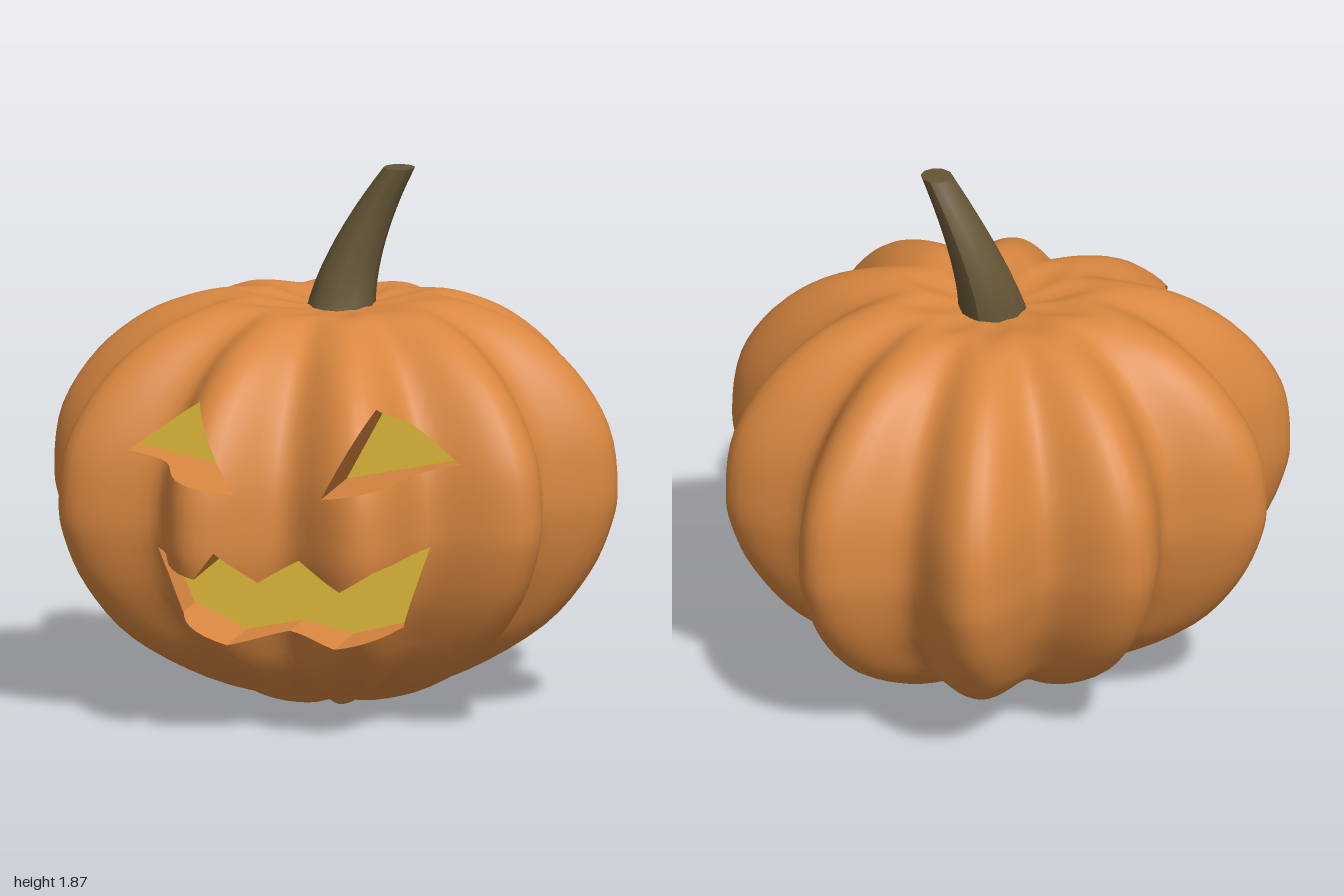
import * as THREE from 'three';

const orange = new THREE.MeshStandardMaterial({ color: 0xd98740 });
orange.name = 'pumpkin orange';
const yellow = new THREE.MeshStandardMaterial({ color: 0xe3bb3a });
yellow.name = 'glow yellow';
const brown = new THREE.MeshStandardMaterial({ color: 0x655536 });
brown.name = 'stem brown';

const BACK = 0.5; // z of the bottom of the carving

// Carved outlines (x, y)
const eye = [[0.313, 1.17], [0.155, 0.877], [0.591, 0.968]];
const mouth = [
  [-0.48, 0.635], [-0.285, 0.585], [-0.215, 0.68], [-0.085, 0.56], [0.06, 0.645],
  [0.23, 0.56], [0.35, 0.635], [0.49, 0.68], [0.385, 0.385], [0.18, 0.33],
  [0, 0.37], [-0.2, 0.33], [-0.385, 0.415],
];

// Outline as counter-clockwise Vector2 points
function outline(points, mirror = 1) {
  const pts = points.map(([x, y]) => new THREE.Vector2(x * mirror, y));
  return THREE.ShapeUtils.area(pts) < 0 ? pts.reverse() : pts;
}

// Signed distance of p from the line a-b, positive on the left
function side(p, a, b) {
  return ((b.x - a.x) * (p[1] - a.y) - (b.y - a.y) * (p[0] - a.x)) / a.distanceTo(b);
}

// Whether p lies on the segment a-b
function onSegment(p, a, b) {
  const along = (p[0] - a.x) * (p[0] - b.x) + (p[1] - a.y) * (p[1] - b.y);
  return Math.abs(side(p, a, b)) < 1e-6 && along < 1e-6;
}

// Keep the part of a convex polygon on one side of the line a-b
function clip(poly, a, b, sign) {
  const out = [];
  poly.forEach((p, i) => {
    const q = poly[(i + 1) % poly.length];
    const dp = side(p, a, b) * sign, dq = side(q, a, b) * sign;
    if (dp >= 0) out.push(p);
    if ((dp > 0 && dq < 0) || (dp < 0 && dq > 0)) {
      const t = dp / (dp - dq);
      out.push(p.map((v, k) => v + (q[k] - v) * t));
    }
  });
  return out.length > 2 ? out : [];
}

// Split a polygon by a triangle into outer pieces and one inner piece
function cut(poly, tri) {
  const outer = [];
  let inner = poly;
  for (let i = 0; i < 3 && inner.length; i++) {
    const a = tri[i], b = tri[(i + 1) % 3];
    const piece = clip(inner, a, b, -1);
    if (piece.length) outer.push(piece);
    inner = clip(inner, a, b, 1);
  }
  return inner.length ? { outer, inner } : { outer: [poly], inner };
}

// Point of the ten-lobed skin at angle a for the ridge profile point (r, y)
function skinPoint(r, y, a) {
  const groove = (1 - Math.cos(a * 10)) / 2;
  const depth = 0.14 + 0.06 * THREE.MathUtils.smoothstep(y, 0.18, 0.38); // shallower underneath
  const swell = 1 + 0.088 * Math.sin(a) * Math.cos(a) ** 2; // fuller front corners
  const rr = r * swell * (1 - depth * groove);
  const sag = 0.09 * Math.sin(a) ** 2 * Math.pow(r, 1.3); // front and back lobes hang lower
  const lift = 0.035 * groove * Math.max(0, 0.72 - y) * Math.min(1, r / 0.3);
  return [rr * Math.cos(a), Math.max(0, y - sag + lift), rr * Math.sin(a)];
}

// Skin as a list of triangles, each vertex holding position and normal
function skinTriangles() {
  const profile = new THREE.SplineCurve([
    [0.002, 0], [0.2, 0.026], [0.47, 0.12], [0.74, 0.29], [0.9, 0.48], [0.98, 0.66],
    [1, 0.8], [0.97, 1], [0.85, 1.19], [0.68, 1.33], [0.5, 1.405], [0.36, 1.425],
    [0.2, 1.397], [0.002, 1.375],
  ].map(([r, y]) => new THREE.Vector2(r, y)));
  const rows = 52, cols = 160, pos = [], index = [];
  for (let i = 0; i <= rows; i++) {
    const { x: r, y } = profile.getPoint(i / rows);
    for (let j = 0; j < cols; j++) {
      pos.push(...skinPoint(r, y, (j / cols) * Math.PI * 2));
      if (i < rows) {
        const k = i * cols, n = (j + 1) % cols;
        index.push(k + j, k + cols + j, k + cols + n, k + j, k + cols + n, k + n);
      }
    }
  }
  const g = new THREE.BufferGeometry();
  g.setAttribute('position', new THREE.Float32BufferAttribute(pos, 3));
  g.setIndex(index);
  g.computeVertexNormals();
  const nor = g.attributes.normal.array;
  const vertex = (v) => [...pos.slice(v * 3, v * 3 + 3), ...nor.slice(v * 3, v * 3 + 3)];
  const tris = [];
  for (let i = 0; i < index.length; i += 3) tris.push([0, 1, 2].map((k) => vertex(index[i + k])));
  return tris;
}

// Cut the outlines through the front of the skin and line them with walls
function carve(tris, outlines) {
  const cutters = [];
  for (const pts of outlines) {
    for (const f of THREE.ShapeUtils.triangulateShape(pts, [])) {
      const tri = f.map((i) => pts[i]);
      cutters.push({ tri: THREE.ShapeUtils.area(tri) < 0 ? tri.reverse() : tri, pts });
    }
  }
  const skin = [], walls = [];
  for (const t of tris) {
    let pieces = [t];
    if (t.every((v) => v[2] > 0.4)) {
      for (const { tri, pts } of cutters) {
        pieces = pieces.flatMap((piece) => {
          const { outer, inner } = cut(piece, tri);
          inner.forEach((p, i) => {
            const q = inner[(i + 1) % inner.length];
            const onEdge = pts.some((a, k) => {
              const b = pts[(k + 1) % pts.length];
              return onSegment(p, a, b) && onSegment(q, a, b);
            });
            if (!onEdge || Math.hypot(p[0] - q[0], p[1] - q[1]) < 1e-6) return;
            const P = p.slice(0, 3), Q = q.slice(0, 3);
            const pb = [p[0], p[1], BACK], qb = [q[0], q[1], BACK];
            walls.push(...P, ...Q, ...qb, ...P, ...qb, ...pb);
          });
          return outer;
        });
      }
    }
    for (const p of pieces) {
      for (let i = 1; i < p.length - 1; i++) skin.push(p[0], p[i], p[i + 1]);
    }
  }
  const skinGeo = new THREE.BufferGeometry();
  skinGeo.setAttribute('position', new THREE.Float32BufferAttribute(skin.flatMap((v) => v.slice(0, 3)), 3));
  skinGeo.setAttribute('normal', new THREE.Float32BufferAttribute(skin.flatMap((v) => v.slice(3)), 3));
  const wallGeo = new THREE.BufferGeometry();
  wallGeo.setAttribute('position', new THREE.Float32BufferAttribute(walls, 3));
  wallGeo.computeVertexNormals();
  return { skinGeo, wallGeo };
}

// Tapered stem that bends to the side, seam at the back
function stemGeometry() {
  const g = new THREE.CylinderGeometry(1, 1, 1, 10, 10, false, Math.PI);
  const p = g.attributes.position;
  for (let i = 0; i < p.count; i++) {
    const h = p.getY(i) + 0.5;
    const r = 0.122 - 0.067 * h;
    p.setXYZ(i,
      0.01 + 0.2 * Math.pow(h, 1.64) + p.getX(i) * r,
      1.36 + 0.51 * h,
      -0.02 - 0.11 * h + 0.075 * h * h + p.getZ(i) * r);
  }
  g.computeVertexNormals();
  return g;
}

export function createModel() {
  const model = new THREE.Group();
  model.name = 'carvedPumpkin';
  const add = (name, geometry, material) => {
    const mesh = new THREE.Mesh(geometry, material);
    mesh.name = name;
    model.add(mesh);
    return mesh;
  };

  const cuts = { leftEye: outline(eye), rightEye: outline(eye, -1), mouth: outline(mouth) };
  const { skinGeo, wallGeo } = carve(skinTriangles(), Object.values(cuts));
  add('body', skinGeo, orange);
  add('carvedWalls', wallGeo, orange);

  // Glowing back of each carving
  for (const [name, pts] of Object.entries(cuts)) {
    add(name + 'Glow', new THREE.ShapeGeometry(new THREE.Shape(pts)), yellow).position.z = BACK;
  }

  add('stem', stemGeometry(), brown);
  return model;
}
